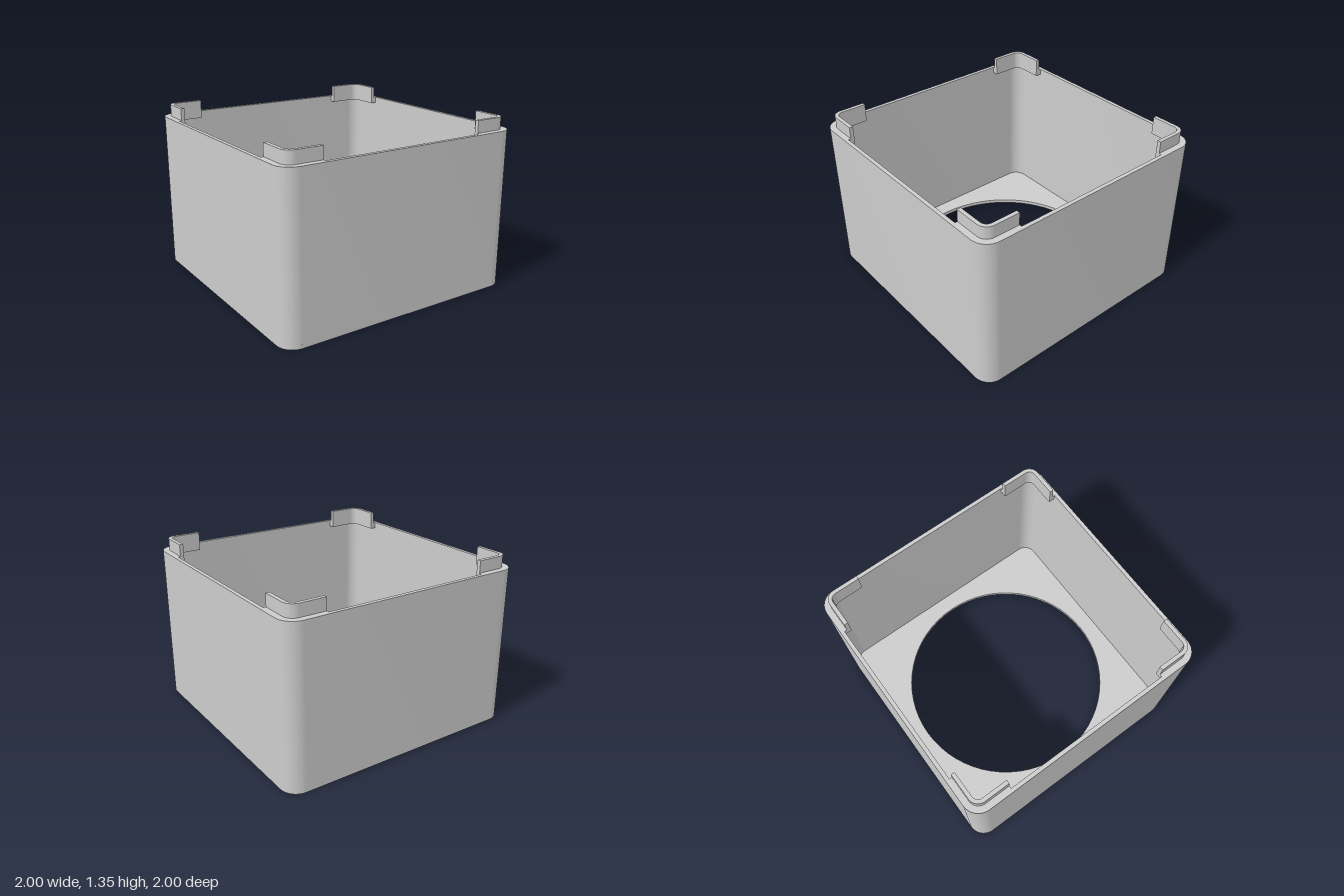
import * as THREE from 'three';
import { toCreasedNormals } from 'three/addons/utils/BufferGeometryUtils.js';

const WALL_TOP = 1.25, FLOOR = 0.03, TAB_TOP = 1.345, TAB_BASE = 1.2;

// Square of half-width h with corner radius r
function roundedSquare(h, r, Type = THREE.Shape) {
  const s = new Type();
  const c = h - r;
  s.moveTo(c, -h);
  s.absarc(c, -c, r, -Math.PI / 2, 0, false);
  s.absarc(c, c, r, 0, Math.PI / 2, false);
  s.absarc(-c, c, r, Math.PI / 2, Math.PI, false);
  s.absarc(-c, -c, r, Math.PI, Math.PI * 1.5, false);
  s.closePath();
  return s;
}

// L-shaped strip following one rounded corner
function cornerStrip(outer, rOut, inner, rIn, start) {
  const s = new THREE.Shape();
  s.moveTo(inner, start);
  s.lineTo(outer, start);
  s.absarc(outer - rOut, outer - rOut, rOut, 0, Math.PI / 2, false);
  s.lineTo(start, outer);
  s.lineTo(start, inner);
  s.absarc(inner - rIn, inner - rIn, rIn, Math.PI / 2, 0, true);
  s.closePath();
  return s;
}

// Extrude a plan shape upwards from y0 to y1, keeping hard edges sharp
function raise(shape, y0, y1, curveSegments = 12) {
  const g = new THREE.ExtrudeGeometry(shape, { depth: y1 - y0, bevelEnabled: false, curveSegments });
  g.rotateX(-Math.PI / 2);
  g.translate(0, y0, 0);
  return toCreasedNormals(g, Math.PI / 5);
}

export function createModel() {
  const model = new THREE.Group();
  model.name = 'openBox';
  const grey = new THREE.MeshStandardMaterial({ color: 0xcccccc });
  grey.name = 'light grey';

  const add = (name, geometry, parent = model) => {
    const mesh = new THREE.Mesh(geometry, grey);
    mesh.name = name;
    parent.add(mesh);
  };

  // Thin outer walls
  const walls = roundedSquare(1, 0.13);
  walls.holes.push(roundedSquare(0.97, 0.1, THREE.Path));
  add('walls', raise(walls, FLOOR, WALL_TOP));

  // Floor with a large round opening
  const floor = roundedSquare(1, 0.13);
  floor.holes.push(new THREE.Path().absarc(0, 0, 0.84, 0, Math.PI * 2, true));
  add('floor', raise(floor, 0, FLOOR, 32));

  // Locating tabs in the four corners, each rooted on a small inner ledge
  const tab = raise(cornerStrip(0.95, 0.08, 0.92, 0.05, 0.67), WALL_TOP, TAB_TOP);
  const ledge = raise(cornerStrip(0.97, 0.1, 0.92, 0.05, 0.67), TAB_BASE, WALL_TOP);
  for (let i = 0; i < 4; i++) {
    const corner = new THREE.Group();
    corner.name = 'cornerTab' + (i + 1);
    add('tab', tab, corner);
    add('tabLedge', ledge, corner);
    corner.rotation.y = i * Math.PI / 2;
    model.add(corner);
  }
  return model;
}
